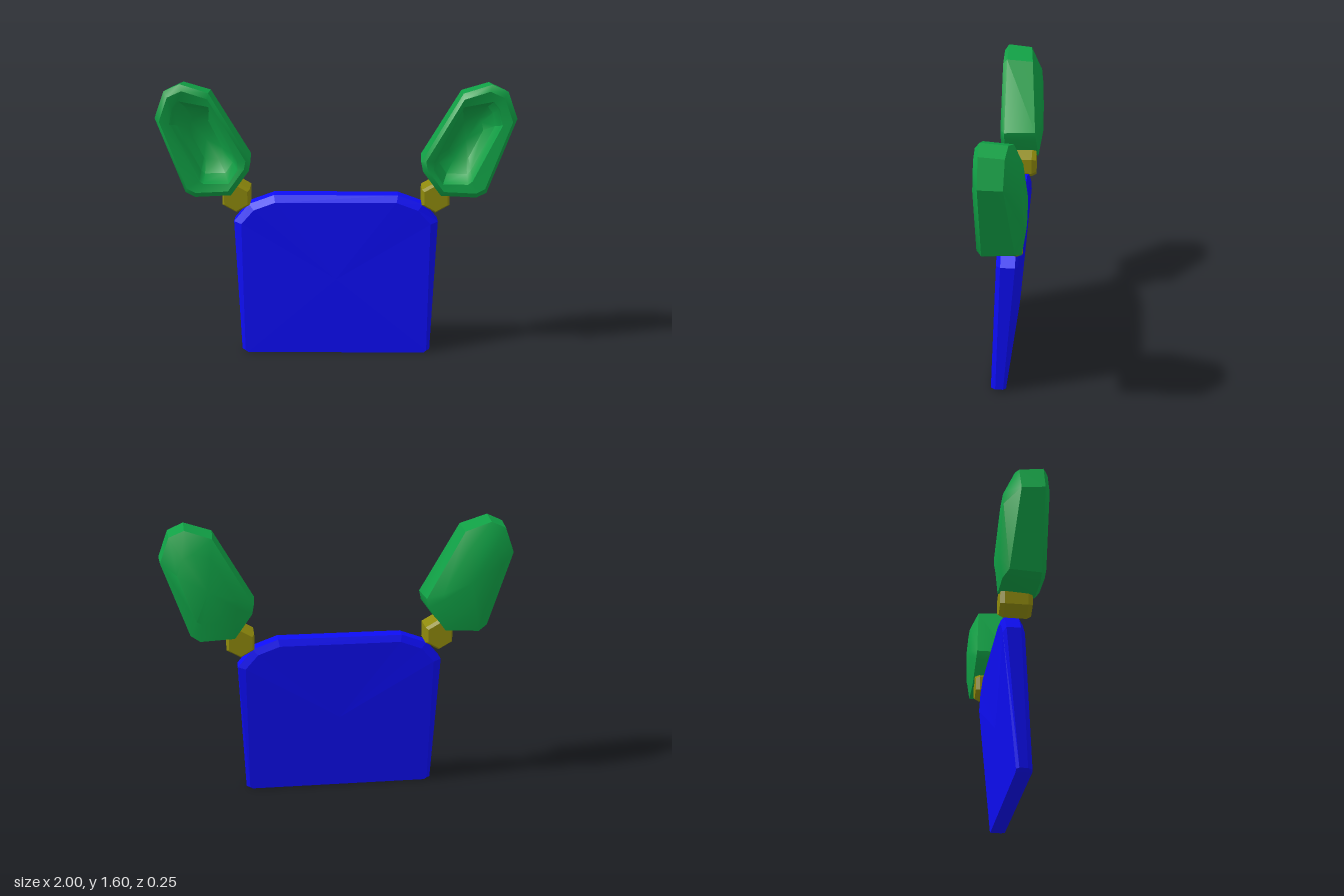
import * as THREE from 'three';
import { toCreasedNormals } from 'three/addons/utils/BufferGeometryUtils.js';

// Skins a list of equal-length rings (counter-clockwise from the front, ordered front to back).
function loft(rings, crease) {
  const pos = [];
  const tri = (a, b, c) => {
    const area = new THREE.Triangle(a, b, c).getArea();
    if (area > 1e-8) for (const p of [a, b, c]) pos.push(p.x, p.y, p.z);
  };
  for (let i = 0; i < rings.length - 1; i++) {
    const a = rings[i], b = rings[i + 1], n = a.length;
    for (let j = 0; j < n; j++) {
      const k = (j + 1) % n;
      tri(a[j], b[j], a[k]);
      tri(a[k], b[j], b[k]);
    }
  }
  const geo = new THREE.BufferGeometry();
  geo.setAttribute('position', new THREE.Float32BufferAttribute(pos, 3));
  geo.computeVertexNormals();
  return crease ? toCreasedNormals(geo, crease) : geo;
}

// Ring from 2D points scaled about a centre; z is a number or a function of (point, index).
function ring(pts, [cx, cy], s, z) {
  return pts.map(([x, y], i) => new THREE.Vector3(
    cx + (x - cx) * s, cy + (y - cy) * s, typeof z === 'function' ? z(y, i) : z));
}

// Mirrors rings to the other side and restores their turning direction.
const mirror = (rings) => rings.map((r) =>
  r.map((p) => new THREE.Vector3(-p.x, p.y, p.z)).reverse());

function part(name, geo, color, flat = false) {
  const mesh = new THREE.Mesh(geo, new THREE.MeshStandardMaterial({ color, flatShading: flat }));
  mesh.name = name;
  return mesh;
}

// Tapered, slightly leaning panel with bevelled edges
function panel() {
  const full = (half) => [...half, ...half.map(([x, y]) => [-x, y]).reverse()];
  const outer = full([[0.52, 0], [0.55, 0.012], [0.583, 0.79], [0.497, 0.893], [0.353, 0.946]]);
  const inner = full([[0.515, 0], [0.53, 0.012], [0.54, 0.78], [0.468, 0.862], [0.345, 0.908]]);
  const lean = (y) => Math.min(y / 0.79, 1);
  const front = (y) => 0.09 - 0.035 * lean(y);
  const back = (y) => 0.005 - 0.07 * lean(y);
  const c = [0, 0.45];
  return loft([
    ring(inner, c, 0, front(c[1])),
    ring(inner, c, 1, front),
    ring(outer, c, 1, (y) => front(y) - 0.026),
    ring(outer, c, 1, (y) => back(y) + 0.015),
    ring(inner, c, 1, back),
    ring(inner, c, 0, back(c[1])),
  ]);
}

// Hexagonal joint with chamfered ends
function jointRings() {
  const c = [0.565, 0.944];
  const hex = Array.from({ length: 6 }, (_, i) => {
    const a = (i + 0.5) * Math.PI / 3;
    return [c[0] + 0.09 * Math.cos(a), c[1] + 0.09 * Math.sin(a)];
  });
  return [[0, 0.085], [0.84, 0.085], [1, 0.06], [1, -0.065], [0.84, -0.09], [0, -0.09]]
    .map(([s, z]) => ring(hex, c, s, z));
}

// Hollow cupped lobe: bowl, flat rim, bevel, wall and domed back
function lobeRings() {
  const outer = [[0.70, 1.55], [0.476, 1.16], [0.487, 1.107], [0.59, 0.966], [0.79, 0.956],
    [0.845, 0.984], [1.0, 1.41], [0.945, 1.56], [0.856, 1.6]];
  const hole = [[0.70, 1.476], [0.548, 1.165], [0.548, 1.115], [0.60, 1.037], [0.74, 1.035],
    [0.765, 1.055], [0.92, 1.374], [0.9, 1.465], [0.866, 1.508]];
  const wallBack = [-0.055, -0.085, -0.09, -0.1, -0.1, -0.07, -0.025, -0.03, -0.04];
  const c = [0.735, 1.26];
  return [
    ring(hole, c, 0, -0.03),
    ring(hole, c, 0.5, -0.015),
    ring(hole, c, 0.82, 0.035),
    ring(hole, c, 0.97, 0.1),
    ring(hole, c, 1, 0.115),
    ring(outer, c, 0.9, 0.125),
    ring(outer, c, 1, 0.1),
    ring(outer, c, 0.96, (y, i) => wallBack[i]),
    ring(outer, c, 0.62, (y) => -0.118 + 0.045 * Math.max(0, y - 1.2)),
    ring(outer, c, 0, -0.122),
  ];
}

export function createModel() {
  const model = new THREE.Group();
  model.name = 'panelWithLobes';
  model.add(part('panel', panel(), 0x0d0df5, true));

  for (const side of ['left', 'right']) {
    const place = side === 'left' ? (r) => r : mirror;
    model.add(part(side + 'Joint', loft(place(jointRings())), 0x8f8a0c, true));
    model.add(part(side + 'Lobe', loft(place(lobeRings()), 0.65), 0x10a045));
  }
  return model;
}
